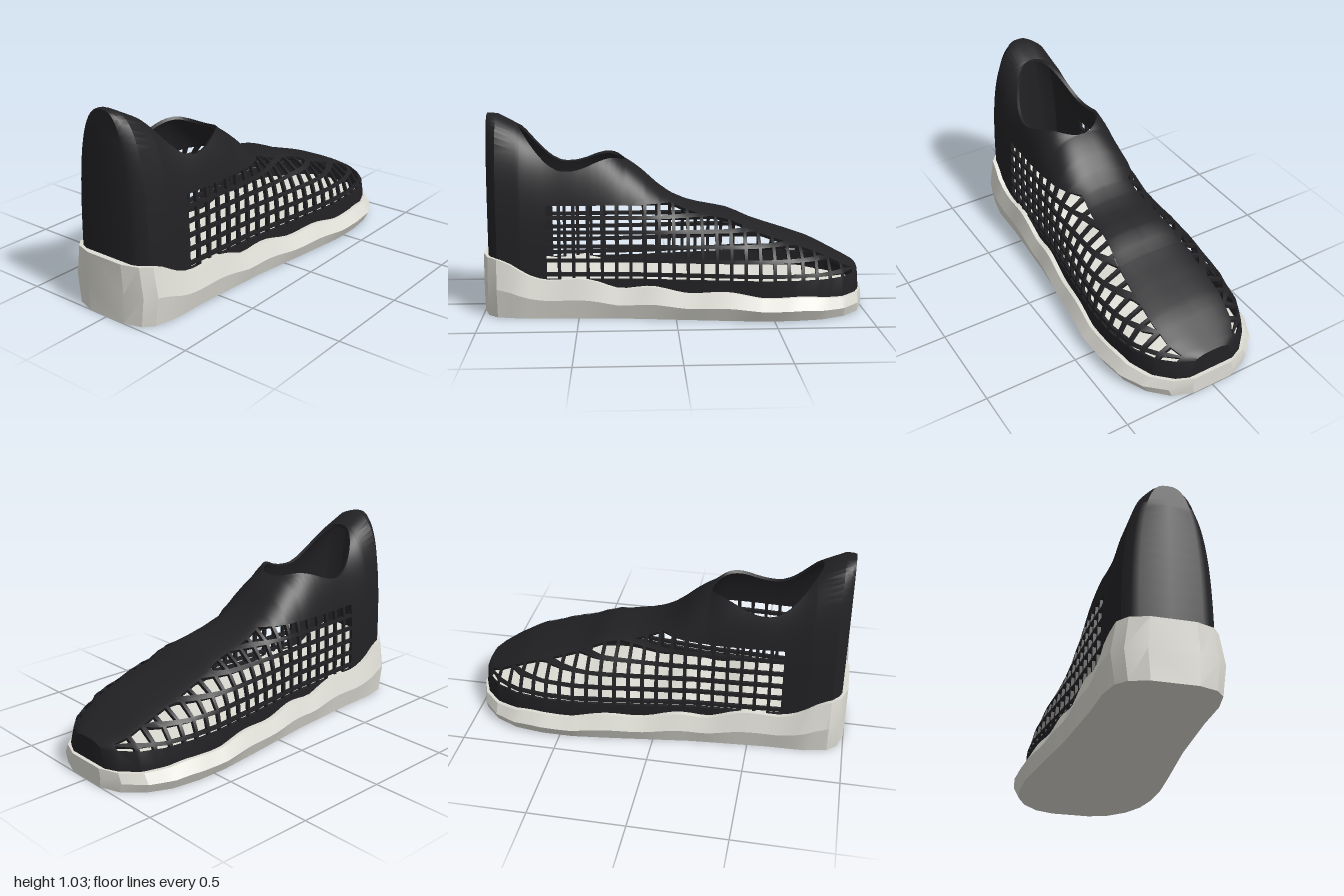
import * as THREE from 'three';
import { toCreasedNormals } from 'three/addons/utils/BufferGeometryUtils.js';

// Interpolation over [x, value] pairs: straight, or smooth with Hermite tangents
function table(pts, smooth) {
  const slope = (k) => {
    const a = pts[Math.max(k - 1, 0)], b = pts[Math.min(k + 1, pts.length - 1)];
    return (b[1] - a[1]) / (b[0] - a[0]);
  };
  return (x) => {
    let k = 0;
    while (k < pts.length - 2 && x > pts[k + 1][0]) k++;
    const [x0, y0] = pts[k], [x1, y1] = pts[k + 1], d = x1 - x0;
    const t = THREE.MathUtils.clamp((x - x0) / d, 0, 1);
    if (!smooth) return y0 + (y1 - y0) * t;
    const s = t * t * (3 - 2 * t);
    return y0 + (y1 - y0) * s + d * (slope(k) * t * (1 - t) ** 2 - slope(k + 1) * t * t * (1 - t));
  };
}

const unique = (list) => [...list].sort((a, b) => a - b).filter((x, i, l) => !i || x - l[i - 1] > 1e-4);

// Collects quads, skipping collapsed triangles
class Faces {
  constructor() { this.data = []; }
  tri(a, b, c) {
    const area = b.clone().sub(a).cross(c.clone().sub(a)).length();
    if (area > 1e-8) for (const p of [a, b, c]) this.data.push(p.x, p.y, p.z);
  }
  quad(a, b, c, d, flip) {
    if (flip) [b, d] = [d, b];
    this.tri(a, b, c);
    this.tri(a, c, d);
  }
  mesh(name, color, crease) {
    const geo = new THREE.BufferGeometry();
    geo.setAttribute('position', new THREE.Float32BufferAttribute(this.data, 3));
    const mat = new THREE.MeshStandardMaterial({ color, side: THREE.DoubleSide });
    const mesh = new THREE.Mesh(toCreasedNormals(geo, crease), mat);
    mesh.name = name;
    return mesh;
  }
}

// Sole: six-sided ring lofted along x, with a wavy upper edge
function createSole() {
  const outline = [[-1, 0.12], [-0.97, 0.22], [-0.92, 0.268], [-0.8, 0.295], [-0.6, 0.3], [-0.2, 0.33], [0.2, 0.385],
    [0.43, 0.413], [0.6, 0.413], [0.75, 0.39], [0.87, 0.33], [0.96, 0.235], [1, 0.12]];
  const width = table(outline);
  const top = table([[-1, 0.31], [-0.92, 0.305], [-0.85, 0.28], [-0.75, 0.222], [-0.65, 0.198], [-0.5, 0.208],
    [-0.4, 0.19], [-0.29, 0.155], [-0.12, 0.168], [0.06, 0.135], [0.26, 0.145], [0.46, 0.115], [0.65, 0.12],
    [0.85, 0.1], [1, 0.1]], true);
  const xs = unique([...outline.map((p) => p[0]), ...Array.from({ length: 41 }, (_, i) => -1 + i * 0.05)]);
  const rings = xs.map((x) => {
    const w = width(x), h = top(x);
    const half = [[0, w * 0.925], [h * 0.5, w], [h, w * 0.9]];
    return [...half, ...half.map(([y, z]) => [y, -z]).reverse()].map(([y, z]) => new THREE.Vector3(x, y, z));
  });
  const f = new Faces();
  for (let i = 0; i < rings.length - 1; i++) {
    for (let j = 0; j < 6; j++) {
      const k = (j + 1) % 6;
      f.quad(rings[i][j], rings[i + 1][j], rings[i + 1][k], rings[i][k]);
    }
  }
  // Heel and toe ends
  for (const [r, flip] of [[rings[0], true], [rings[rings.length - 1], false]]) {
    f.quad(r[0], r[5], r[4], r[1], flip);
    f.quad(r[1], r[4], r[3], r[2], flip);
  }
  return f.mesh('sole', 0xdddcd4, 0.3);
}

// Upper: thick shell of superellipse sections with a foot opening and square vents
function createUpper() {
  const P = 3.5, Q = 2.8, BASE = 0.1, THICK = 0.018;
  const PITCH = 0.0735, VENT_X = -0.663, VENT_W = 0.057, COLUMNS = 22;
  const outline = [[-0.97, 0.15], [-0.955, 0.185], [-0.92, 0.22], [-0.8, 0.241], [-0.6, 0.25], [-0.2, 0.27],
    [0.2, 0.325], [0.43, 0.353], [0.6, 0.353], [0.75, 0.33], [0.87, 0.275], [0.95, 0.195], [0.98, 0.13]];
  const width = table(outline);
  const rim = table([[-0.97, 1.035], [-0.92, 1.03], [-0.85, 1], [-0.8, 0.96], [-0.74, 0.88], [-0.68, 0.81],
    [-0.62, 0.765], [-0.56, 0.752], [-0.48, 0.765], [-0.4, 0.797], [-0.33, 0.812], [-0.27, 0.795], [-0.18, 0.735],
    [-0.08, 0.645], [0, 0.59], [0.1, 0.55], [0.3, 0.505], [0.42, 0.45], [0.6, 0.388], [0.75, 0.335], [0.88, 0.27],
    [0.98, 0.22]], true);
  const opening = (x) => 0.2 * Math.sqrt(Math.max(0, 1 - ((x + 0.535) / 0.28) ** 2));

  // Stations along x: outline corners, vent edges and the opening
  const stations = outline.map((p) => p[0]);
  for (let k = 0; k < COLUMNS; k++) stations.push(VENT_X + k * PITCH, VENT_X + k * PITCH + VENT_W);
  for (let k = 0; k <= 24; k++) stations.push(-0.535 + 0.28 * Math.cos(k * Math.PI / 24));
  const xs = unique(stations);

  // Levels in y: vent rows lie between even levels and the next ones
  const levels = [0.04, 0.12, 0.2, 0.2155];
  for (let k = 4; k >= 0; k--) levels.push(0.528 - k * PITCH, 0.583 - k * PITCH);
  const last = levels.length - 1, CROWN = 14, rows = last + CROWN;

  // Outer and inner points of one half section
  function section(x) {
    const w = width(x), r = rim(x), ze = opening(x);
    const h = BASE + (r - BASE) / (1 - (ze / w) ** Q) ** (1 / P);
    const angle = (y) => Math.asin(Math.max(0, (y - BASE) / (h - BASE)) ** (P / 2));
    const end = Math.acos((ze / w) ** (Q / 2));
    const outer = [], inner = [];
    for (let j = 0; j <= rows; j++) {
      const level = Math.min(levels[Math.min(j, last)], r - 0.02);
      let a = angle(level);
      if (j > last) a += (end - a) * (j - last) / CROWN;
      const t = Math.sin(a) ** (2 / P);
      const z = j === rows ? ze : w * Math.max(0, Math.cos(a)) ** (2 / Q);
      const y = a > 0 ? BASE + (h - BASE) * t : level;
      const n = new THREE.Vector2(P * t ** (P - 1) / (h - BASE), Q * (z / w) ** (Q - 1) / w).normalize();
      outer.push([x, y, z]);
      inner.push([x, y - n.x * THICK, Math.max(0, z - n.y * THICK)]);
    }
    return [outer, inner];
  }
  const grid = xs.map(section);

  const isVent = (i, j) => {
    if (i < 0 || i >= xs.length - 1 || j < 2 || j >= last || j % 2) return false;
    const u = (xs[i] + xs[i + 1]) / 2 - VENT_X, k = Math.floor(u / PITCH);
    return k >= 0 && k < COLUMNS && u - k * PITCH < VENT_W;
  };

  const f = new Faces();
  for (const side of [1, -1]) {
    const at = (i, j, layer) => {
      const [x, y, z] = grid[i][layer][j];
      return new THREE.Vector3(x, y, z * side);
    };
    // Strip joining the outer and inner layers along an edge
    const wall = (i0, j0, i1, j1) =>
      f.quad(at(i0, j0, 0), at(i1, j1, 0), at(i1, j1, 1), at(i0, j0, 1), side < 0);
    for (let i = 0; i < xs.length - 1; i++) {
      for (let j = 0; j < rows; j++) {
        if (isVent(i, j)) {
          wall(i + 1, j, i, j);
          wall(i, j + 1, i + 1, j + 1);
          if (!isVent(i - 1, j)) wall(i, j, i, j + 1);
          if (!isVent(i + 1, j)) wall(i + 1, j + 1, i + 1, j);
          continue;
        }
        for (const layer of [0, 1]) {
          f.quad(at(i, j, layer), at(i + 1, j, layer), at(i + 1, j + 1, layer), at(i, j + 1, layer),
            (side < 0) !== (layer === 1));
        }
      }
      // Collar edge
      if (opening(xs[i]) + opening(xs[i + 1]) > 1e-6) wall(i + 1, rows, i, rows);
    }
    // Half of the flat heel and toe ends
    for (const i of [0, xs.length - 1]) {
      for (let j = 0; j < rows; j++) {
        const a = at(i, j, 0), b = at(i, j + 1, 0);
        f.quad(a, a.clone().setZ(0), b.clone().setZ(0), b, (side < 0) !== (i === 0));
      }
    }
  }
  return f.mesh('upper', 0x222225, 0.6);
}

export function createModel() {
  const shoe = new THREE.Group();
  shoe.name = 'shoe';
  shoe.add(createSole(), createUpper());
  return shoe;
}
